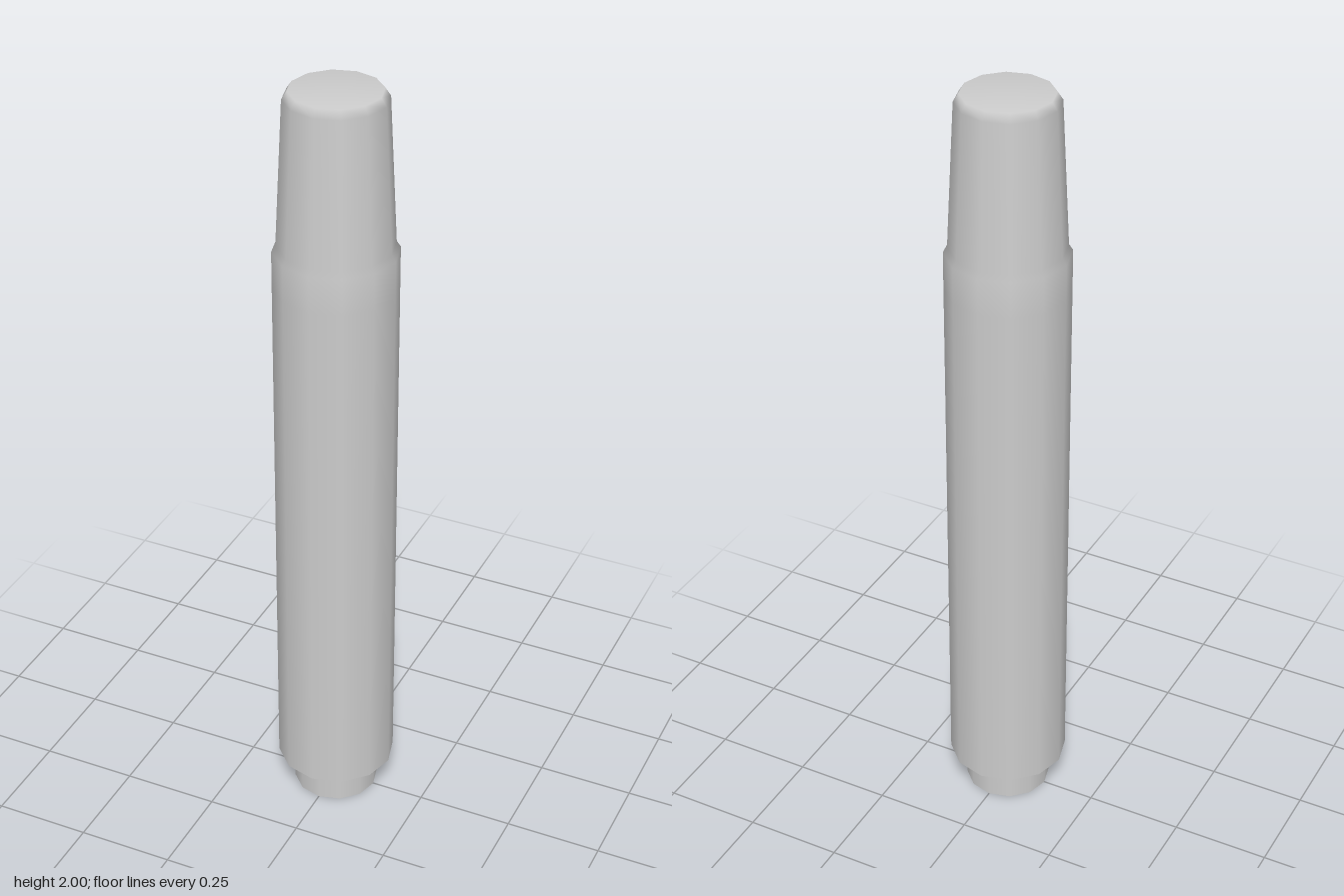
import * as THREE from 'three';

const SIDES = 12;
const material = new THREE.MeshStandardMaterial({ color: 0xcccccc });

// Turned part from [radius, height] pairs, listed bottom to top
function turned(name, profile) {
  const points = profile.map(([r, y]) => new THREE.Vector2(r, y));
  const mesh = new THREE.Mesh(new THREE.LatheGeometry(points, SIDES), material);
  mesh.name = name;
  return mesh;
}

export function createModel() {
  const group = new THREE.Group();
  group.name = 'marker';

  // Barrel, stepped shoulder and tapered cap form one smooth surface
  group.add(turned('barrelAndCap', [
    [0.153, 0.095], [0.153, 1.5], [0.153, 1.595], [0.143, 1.61],
    [0.125, 1.98], [0.112, 2], [0, 2],
  ]));

  // Flat underside of the barrel
  group.add(turned('barrelUnderside', [[0, 0.095], [0.153, 0.095]]));

  // Narrow end plug
  const plug = new THREE.Mesh(new THREE.CylinderGeometry(0.11, 0.11, 0.095, SIDES), material);
  plug.name = 'endPlug';
  plug.position.y = 0.0475;
  group.add(plug);

  return group;
}
